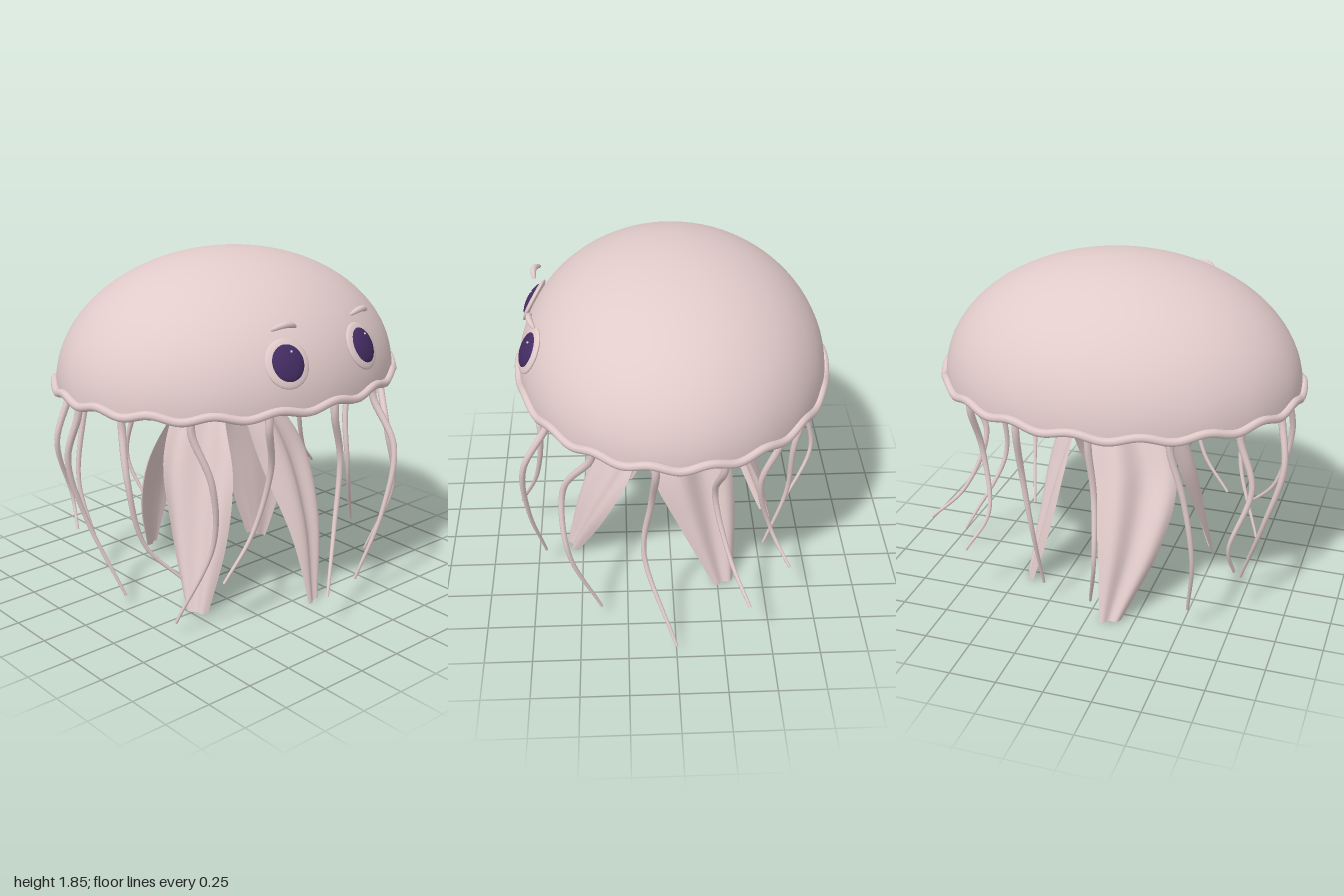
import * as THREE from 'three';
import { mergeVertices } from 'three/addons/utils/BufferGeometryUtils.js';

const V = (x, y, z) => new THREE.Vector3(x, y, z);
const CX = -0.015, CZ = -0.015, RIM_Y = 1.195, SCALLOPS = 18;
const wave = (a) => 0.014 * Math.cos(SCALLOPS * a);

// Moves every vertex by a rule, then rebuilds smooth normals across seams
function reshape(geometry, rule) {
  const p = geometry.attributes.position, v = V(0, 0, 0);
  for (let i = 0; i < p.count; i++) {
    rule(v.fromBufferAttribute(p, i), i);
    p.setXYZ(i, v.x, v.y, v.z);
  }
  geometry.deleteAttribute('uv');
  geometry.deleteAttribute('normal');
  const merged = mergeVertices(geometry, 1e-5);
  merged.computeVertexNormals();
  return merged;
}

// Round tube whose radius follows radiusAt(t)
function taperedTube(points, radiusAt, segments = 32, sides = 8) {
  const curve = new THREE.CatmullRomCurve3(points);
  const geometry = new THREE.TubeGeometry(curve, segments, 1, sides);
  return reshape(geometry, (v, i) => {
    const t = Math.floor(i / (sides + 1)) / segments;
    const c = curve.getPointAt(t);
    v.sub(c).multiplyScalar(radiusAt(t)).add(c);
  });
}

// Ruffled ribbon: path down the arm, spread along "across", folded along "out"
function ribbon(path, across, out) {
  const curve = new THREE.CatmullRomCurve3(path);
  const width = new THREE.CatmullRomCurve3(
    [V(0.08, 0, 0), V(0.16, 0.25, 0), V(0.22, 0.5, 0), V(0.165, 0.75, 0), V(0.06, 1, 0)]);
  const geometry = new THREE.PlaneGeometry(1, 1, 16, 36);
  return reshape(geometry, (v) => {
    const u = v.x * 2, t = 0.5 - v.y;
    const w = width.getPoint(t).x;
    const fold = w * (0.14 * Math.cos(Math.PI * 1.5 * u + 0.6 + 3 * t) - 0.2 * u * u);
    v.copy(curve.getPoint(t)).addScaledVector(across, u * w).addScaledVector(out, fold);
    v.y = Math.max(v.y, 0);
  });
}

export function createModel() {
  const model = new THREE.Group();
  const skin = new THREE.MeshStandardMaterial({ color: 0xe1cbca, side: THREE.DoubleSide });
  const eyePurple = new THREE.MeshStandardMaterial({ color: 0x432c62 });
  const white = new THREE.MeshStandardMaterial({ color: 0xffffff });
  const add = (name, geometry, material = skin, parent = model) => {
    const mesh = new THREE.Mesh(geometry, material);
    mesh.name = name;
    parent.add(mesh);
  };

  // Bell: half ellipsoid whose lower edge follows the scallops
  const dome = new THREE.SphereGeometry(1, 108, 36, 0, Math.PI * 2, 0, Math.PI / 2);
  add('bell', reshape(dome, (v) => {
    const edge = wave(Math.atan2(v.x, v.z)) * Math.pow(1 - v.y, 8);
    v.set(CX + v.x * 0.955, RIM_Y + v.y * 0.655 + edge, CZ + v.z * 0.805);
  }));

  // Scalloped rim roll
  const rimPoints = [];
  for (let i = 0; i < 144; i++) {
    const a = i / 144 * Math.PI * 2;
    rimPoints.push(V(CX + 0.963 * Math.sin(a), RIM_Y + wave(a), CZ + 0.81 * Math.cos(a)));
  }
  add('rim', new THREE.TubeGeometry(new THREE.CatmullRomCurve3(rimPoints, true), 288, 0.022, 8, true));

  // Pleated underside
  const under = new THREE.RingGeometry(0.01, 1, 108, 16);
  add('underside', reshape(under, (v) => {
    const r = Math.hypot(v.x, v.y), a = Math.atan2(v.x, v.y);
    const sag = 0.08 * Math.sin(Math.PI * Math.pow(r, 1.6));
    const pleat = wave(a) * r + 0.012 * Math.cos(9 * a) * Math.sin(Math.PI * r);
    v.set(CX + v.x * 0.955, RIM_Y - sag + pleat - 0.01 * (1 - r), CZ + v.y * 0.805);
  }));

  // Four oral arms, in two opposite pairs, each turned like a pinwheel blade
  const armA = [V(0.02, 1.17, 0.1), V(0.06, 1.0, 0.22), V(0.16, 0.72, 0.32), V(0.17, 0.38, 0.45), V(0.1, 0, 0.57)];
  const armB = [V(0.14, 1.17, -0.02), V(0.24, 1.0, -0.05), V(0.32, 0.72, -0.12), V(0.38, 0.38, -0.21), V(0.45, 0, -0.29)];
  const c = Math.cos(0.42), k = Math.sin(0.42);
  for (const s of [1, -1]) {
    const turn = (p) => V(p.x * s - (s < 0 ? 0.03 : 0), p.y, p.z * s - (s < 0 ? 0.02 : 0));
    add(s > 0 ? 'frontArm' : 'backArm',
      ribbon(armA.map(turn), V(c * s, 0, -k * s), V(k * s, 0.2, c * s).normalize()));
    add(s > 0 ? 'leftArm' : 'rightArm',
      ribbon(armB.map(turn), V(-k * s, 0, -c * s), V(c * s, 0.2, -k * s).normalize()));
  }

  // Tentacles: x, z at height 0.85, x, z at height 0.5, then tip x, y, z
  const tentacles = [
    [0.13, 0.70, 0.06, 0.74, -0.09, 0.19, 0.85], [0.46, 0.77, 0.39, 0.77, 0.27, 0.12, 0.70],
    [0.64, 0.56, 0.72, 0.55, 0.68, 0.07, 0.39], [0.77, 0.12, 0.76, 0.16, 0.97, 0.05, 0.00],
    [0.71, -0.20, 0.82, -0.28, 0.99, 0.33, -0.37], [0.63, -0.44, 0.58, -0.51, 0.68, 0.31, -0.61],
    [0.32, -0.65, 0.28, -0.63, 0.27, 0.13, -0.52], [-0.10, -0.75, -0.12, -0.82, -0.05, 0.18, -0.68],
    [-0.53, -0.66, -0.58, -0.65, -0.54, 0.14, -0.55], [-0.83, -0.46, -0.73, -0.49, -0.75, 0.33, -0.42],
    [-0.94, -0.19, -0.85, -0.18, -0.71, 0.06, -0.04], [-0.90, 0.27, -0.82, 0.29, -0.66, 0.30, 0.38],
    [-0.61, 0.56, -0.57, 0.52, -0.71, 0.07, 0.39], [-0.27, 0.61, -0.34, 0.55, -0.50, 0.27, 0.52],
  ];
  tentacles.forEach(([x1, z1, x2, z2, x, y, z], i) => {
    const a = 0.07 + i / tentacles.length * Math.PI * 2;
    const tx = CX + 0.9 * Math.sin(a), tz = CZ + 0.75 * Math.cos(a);
    const points = [V(tx, 1.19, tz), V(tx, 1.1, tz), V(x1, 0.85, z1), V(x2, 0.5, z2), V(x, y, z)];
    add('tentacle' + (i + 1), taperedTube(points, (t) => 0.021 - 0.013 * t, 40));
  });

  // Face: eyes on low mounds in the bell surface, with brows floating above
  for (const s of [1, -1]) {
    const side = s > 0 ? 'left' : 'right';
    const x = CX + s * 0.255;
    const eye = new THREE.Group();
    eye.name = side + 'Eye';
    eye.position.set(x, 1.425, 0.715);
    eye.lookAt(eye.position.clone().add(V(s * 0.277, 0.55, 1.1)));
    add('socket', new THREE.SphereGeometry(1, 32, 16).scale(0.118, 0.125, 0.022), skin, eye);
    add('eyeball', new THREE.SphereGeometry(1, 32, 20).scale(0.093, 0.1, 0.038), eyePurple, eye);
    add('glint', new THREE.SphereGeometry(0.006, 8, 6).translate(0.02, 0.05, 0.033), white, eye);
    model.add(eye);

    const brow = [-1, -0.5, 0, 0.5, 1].map((q) =>
      V(x + q * 0.07, 1.613 - 0.022 * q * q, 0.705 - 0.018 * q * q - s * q * 0.012));
    add(side + 'Brow', taperedTube(brow, (t) => 0.004 + 0.012 * Math.sqrt(Math.max(0, Math.sin(Math.PI * t))), 20));
  }
  return model;
}
